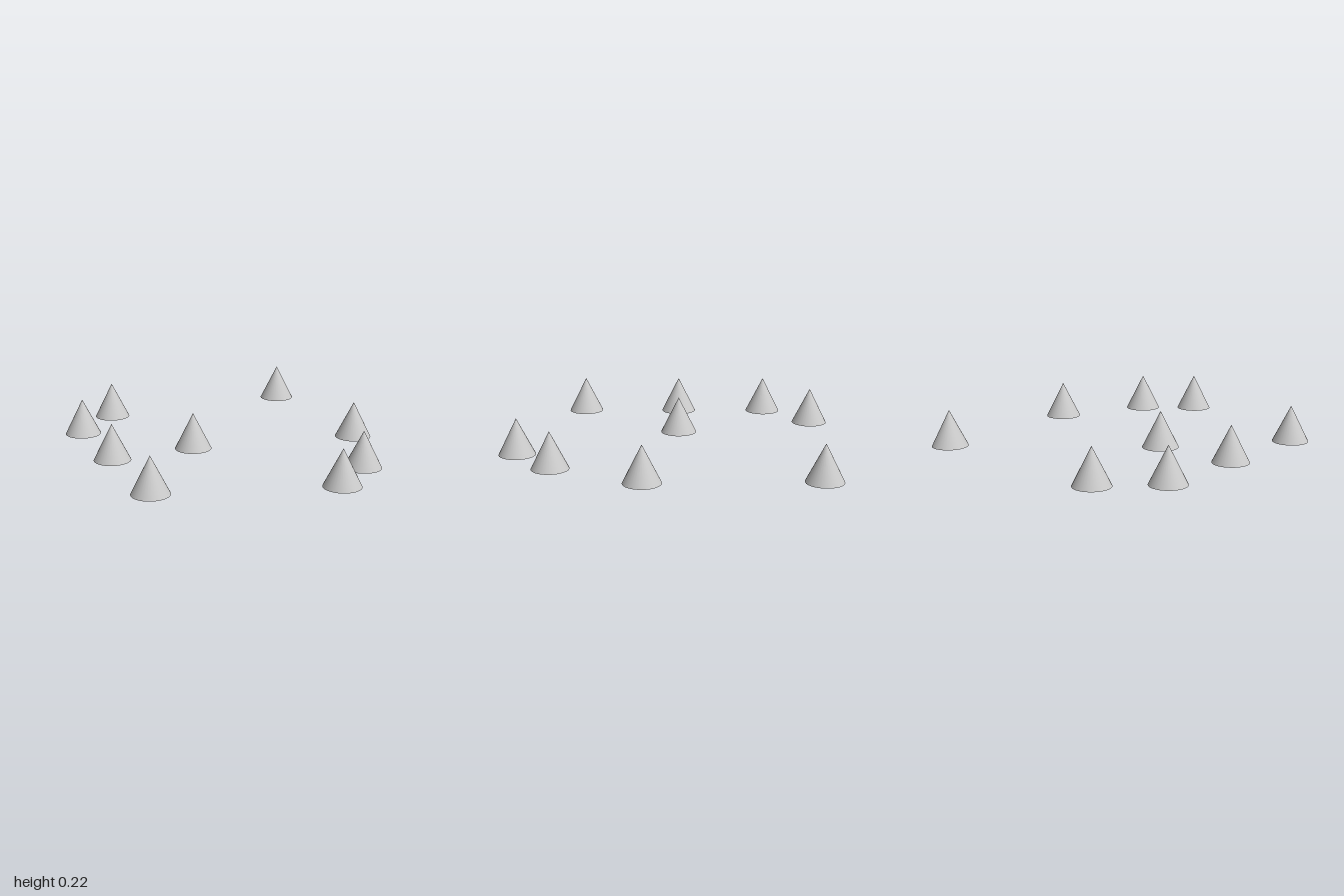
import * as THREE from 'three';

const RADIUS = 0.109;
const HEIGHT = 0.218;

// Ground positions of the cones: [x, z]
const SPOTS = [
  [-0.54, -0.78], [0.64, -0.89], [-0.79, -0.465],
  [-0.72, 0.087], [-0.215, 0.02], [0.79, 0.087],
  [-0.64, 0.695], [0.613, 0.637], [0.38, 0.89],
];

export function createModel() {
  const model = new THREE.Group();
  model.name = 'scatteredCones';
  const material = new THREE.MeshStandardMaterial({ color: 0xcccccc });

  // One closed cone, base on the ground, shared by every spot
  const geometry = new THREE.ConeGeometry(RADIUS, HEIGHT, 32);
  geometry.translate(0, HEIGHT / 2, 0);

  SPOTS.forEach(([x, z], i) => {
    const cone = new THREE.Mesh(geometry, material);
    cone.name = `cone${i + 1}`;
    cone.position.set(x, 0, z);
    model.add(cone);
  });
  return model;
}
